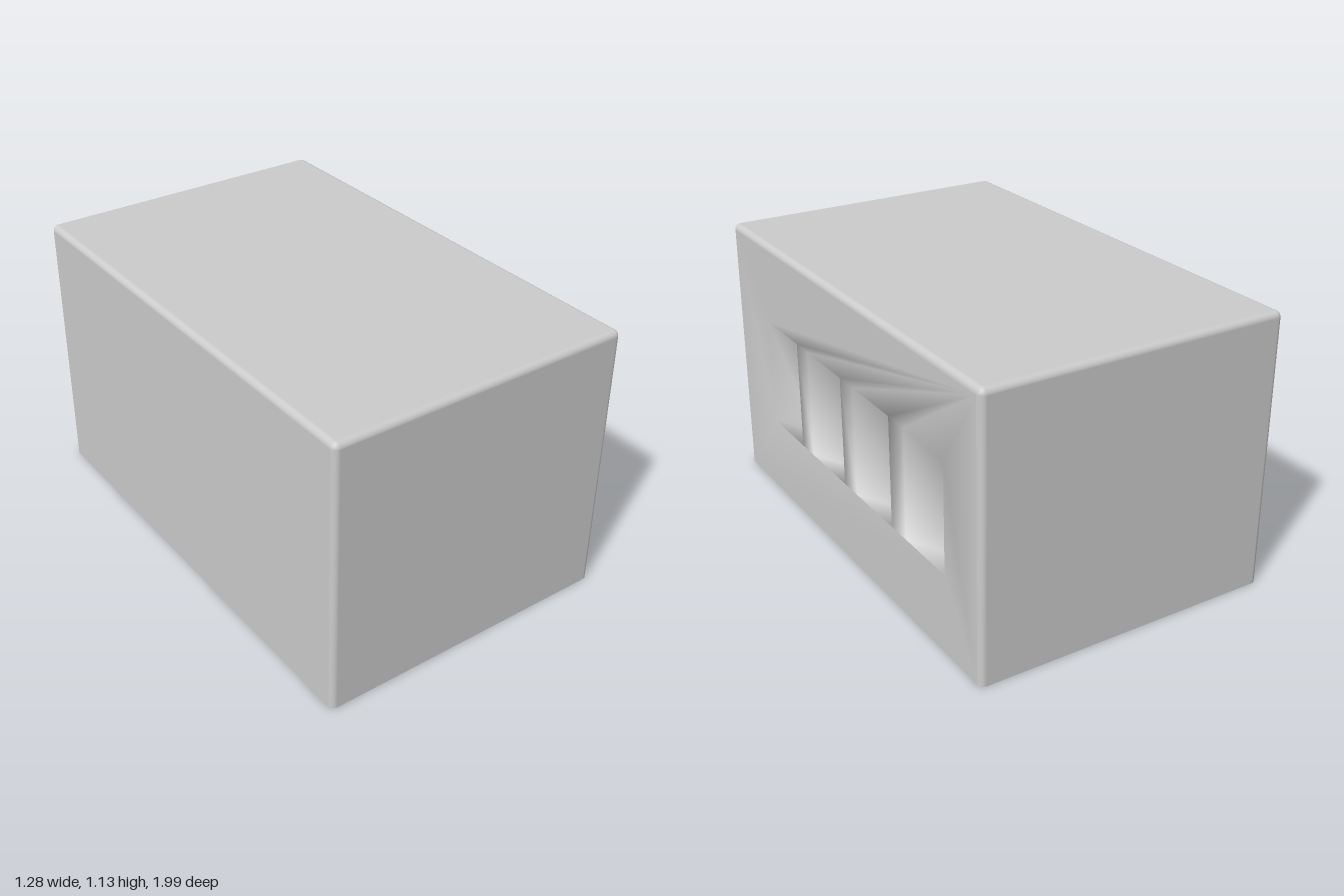
import * as THREE from 'three';
import { mergeGeometries, mergeVertices } from 'three/addons/utils/BufferGeometryUtils.js';

const W = 0.631, D = 0.992, H = 1.13; // half width, half depth, height
const R = 0.025, STEPS = 6;           // edge rounding
const SILL = 0.33, LINTEL = 0.785, RECESS = 0.15;
const WINDOWS = [[0.68, 0.4], [0.3, 0.015], [-0.09, -0.37], [-0.48, -0.755]]; // front and back z

function indexed(positions, index) {
  const g = new THREE.BufferGeometry();
  g.setAttribute('position', new THREE.Float32BufferAttribute(positions, 3));
  g.setIndex(index);
  return g;
}

function smooth(g) {
  const merged = mergeVertices(g, 1e-4);
  merged.computeVertexNormals();
  return merged;
}

// Open-bottomed rounded shell, leaving out the flat of the window side
function shellGeometry() {
  const pos = [], index = [], N = 4 * (STEPS + 1);
  const ring = (radius, y) => {
    for (let k = 0; k < 4; k++) {
      const sx = k === 0 || k === 3 ? 1 : -1, sz = k < 2 ? 1 : -1;
      for (let s = 0; s <= STEPS; s++) {
        const t = (k + s / STEPS) * Math.PI / 2;
        pos.push(sx * (W - R) + radius * Math.cos(t), y, sz * (D - R) + radius * Math.sin(t));
      }
    }
  };
  ring(R, 0);
  for (let i = 0; i <= STEPS; i++) {
    const a = i / STEPS * Math.PI / 2;
    ring(R * Math.cos(a), H - R + R * Math.sin(a));
  }
  for (let i = 0; i <= STEPS; i++) {
    for (let j = 0; j < N; j++) {
      if (i === 0 && j === N - 1) continue;
      const a = i * N + j, b = i * N + (j + 1) % N;
      index.push(a, a + N, b, b, a + N, b + N);
    }
  }
  // flat roof between the four corner centres
  const c = [0, 1, 2, 3].map(k => (STEPS + 1) * N + k * (STEPS + 1));
  index.push(c[0], c[2], c[1], c[0], c[3], c[2]);
  return smooth(indexed(pos, index));
}

// Pocket behind one window: four sides and a back
function recessGeometry(l, r) {
  const pos = [];
  for (const z of [0, -RECESS]) pos.push(l, SILL, z, r, SILL, z, r, LINTEL, z, l, LINTEL, z);
  const index = [4, 5, 6, 4, 6, 7];
  for (let i = 0; i < 4; i++) {
    const j = (i + 1) % 4;
    index.push(i, j, j + 4, i, j + 4, i + 4);
  }
  return indexed(pos, index);
}

// Side wall with four recessed windows, softly shaded as one surface
function windowWallGeometry() {
  const e = D - R, top = H - R;
  const shape = new THREE.Shape([[-e, 0], [e, 0], [e, top], [-e, top]].map(p => new THREE.Vector2(...p)));
  const parts = [];
  for (const [front, back] of WINDOWS) {
    const l = -front, r = -back;
    shape.holes.push(new THREE.Path([[l, SILL], [l, LINTEL], [r, LINTEL], [r, SILL]].map(p => new THREE.Vector2(...p))));
    parts.push(recessGeometry(l, r));
  }
  const wall = new THREE.ShapeGeometry(shape);
  wall.deleteAttribute('normal');
  wall.deleteAttribute('uv');
  const g = smooth(mergeGeometries([wall, ...parts]));
  return g.rotateY(Math.PI / 2).translate(W, 0, 0);
}

export function createModel() {
  const material = new THREE.MeshStandardMaterial({ color: 0xcccccc, side: THREE.DoubleSide });
  const model = new THREE.Group();
  model.name = 'building';
  const add = (name, geometry) => {
    const mesh = new THREE.Mesh(geometry, material);
    mesh.name = name;
    model.add(mesh);
  };
  add('shell', shellGeometry());
  add('windowWall', windowWallGeometry());
  // the block stands very slightly turned
  model.rotation.y = 0.0075;
  return model;
}
